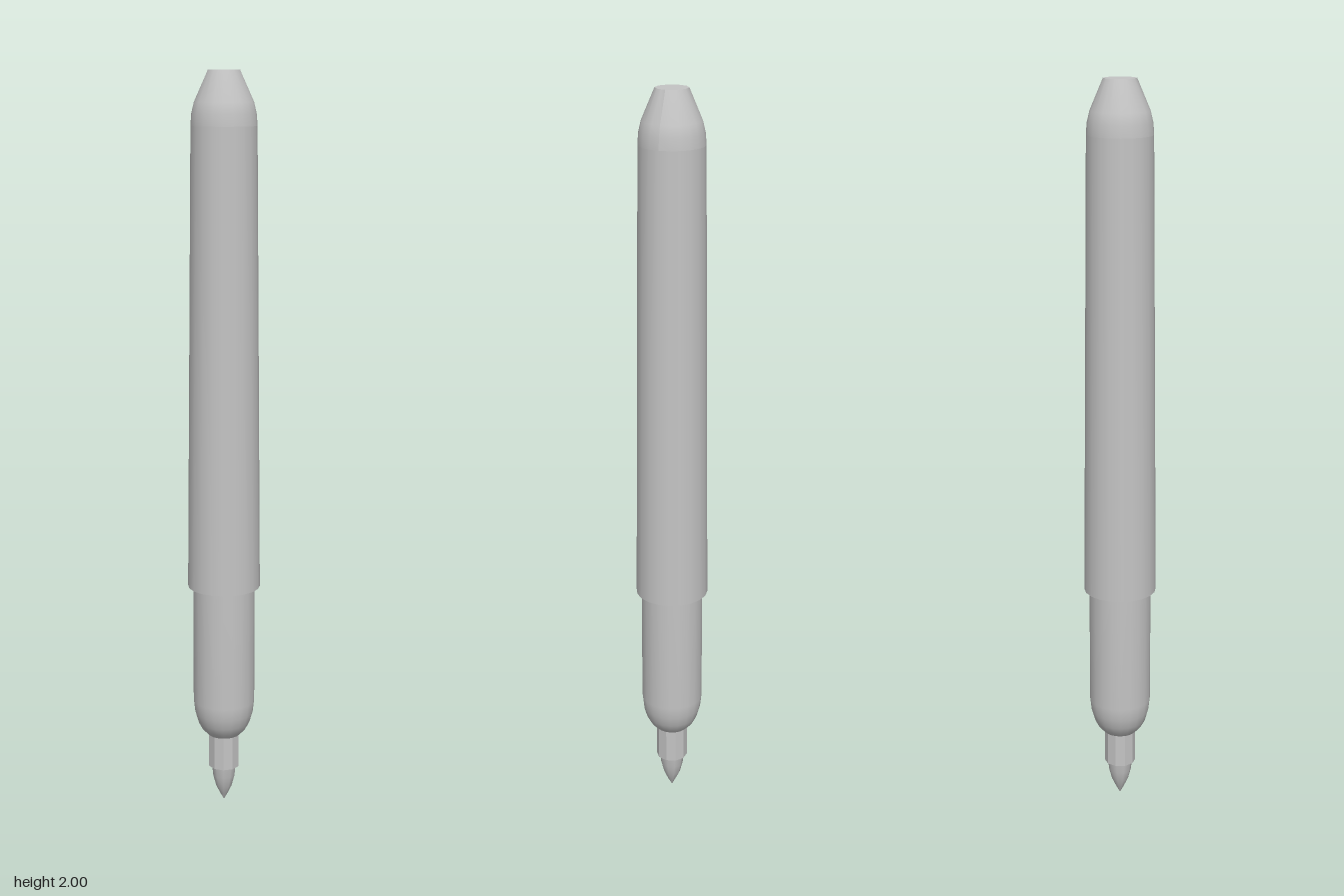
import * as THREE from 'three';

const SIDES = 20;

export function createModel() {
  const group = new THREE.Group();
  group.name = 'markerPen';
  const grey = new THREE.MeshStandardMaterial({ color: 0xc4c4c4 });
  grey.name = 'grey plastic';

  function add(name, geometry) {
    const mesh = new THREE.Mesh(geometry, grey);
    mesh.name = name;
    group.add(mesh);
  }

  // profile points are [radius, height], listed from bottom to top
  function turned(profile, sides = SIDES) {
    const points = profile.map(([r, y]) => new THREE.Vector2(r, y));
    return new THREE.LatheGeometry(points, sides, Math.PI / 2);
  }

  function faceted(geometry) {
    const flat = geometry.toNonIndexed();
    flat.computeVertexNormals();
    return flat;
  }

  // Long tapered barrel with a narrow rim at its open end
  add('barrel', turned([[0.098, 0.63], [0.092, 1.25], [0.086, 1.86]]));
  add('barrelRim', turned([[0.08, 0.63], [0.098, 0.63]]));

  // Shoulder whose 20 sides close to a ten-sided flat end
  const shoulder = turned([[0.086, 1.86], [0.084, 1.89], [0.077, 1.92], [0.043, 2]]);
  const pos = shoulder.attributes.position;
  for (let i = 0; i <= SIDES; i++) {
    if (i % 2 === 0) continue;
    const top = i * 4 + 3;
    const k = Math.cos(Math.PI / 10);
    pos.setXYZ(top, pos.getX(top) * k, 2, pos.getZ(top) * k);
  }
  shoulder.computeVertexNormals();
  add('shoulder', shoulder);
  add('endCap', turned([[0.043, 2], [0, 2]], 10));

  // Front grip, rounded in toward the nib holder
  add('grip', turned([
    [0.045, 0.2], [0.06, 0.215], [0.072, 0.237],
    [0.08, 0.265], [0.084, 0.3], [0.084, 0.64],
  ]));
  add('gripEnd', turned([[0, 0.2], [0.045, 0.2]]));

  // Ten-sided nib holder
  add('nibHolder', faceted(turned([[0.043, 0.105], [0.043, 0.21]], 10)));
  add('nibHolderEnd', turned([[0, 0.105], [0.043, 0.105]], 10));

  // Pointed nib
  add('nib', turned([
    [0, 0], [0.012, 0.022], [0.023, 0.045], [0.031, 0.075], [0.035, 0.11],
  ], 10));

  return group;
}
